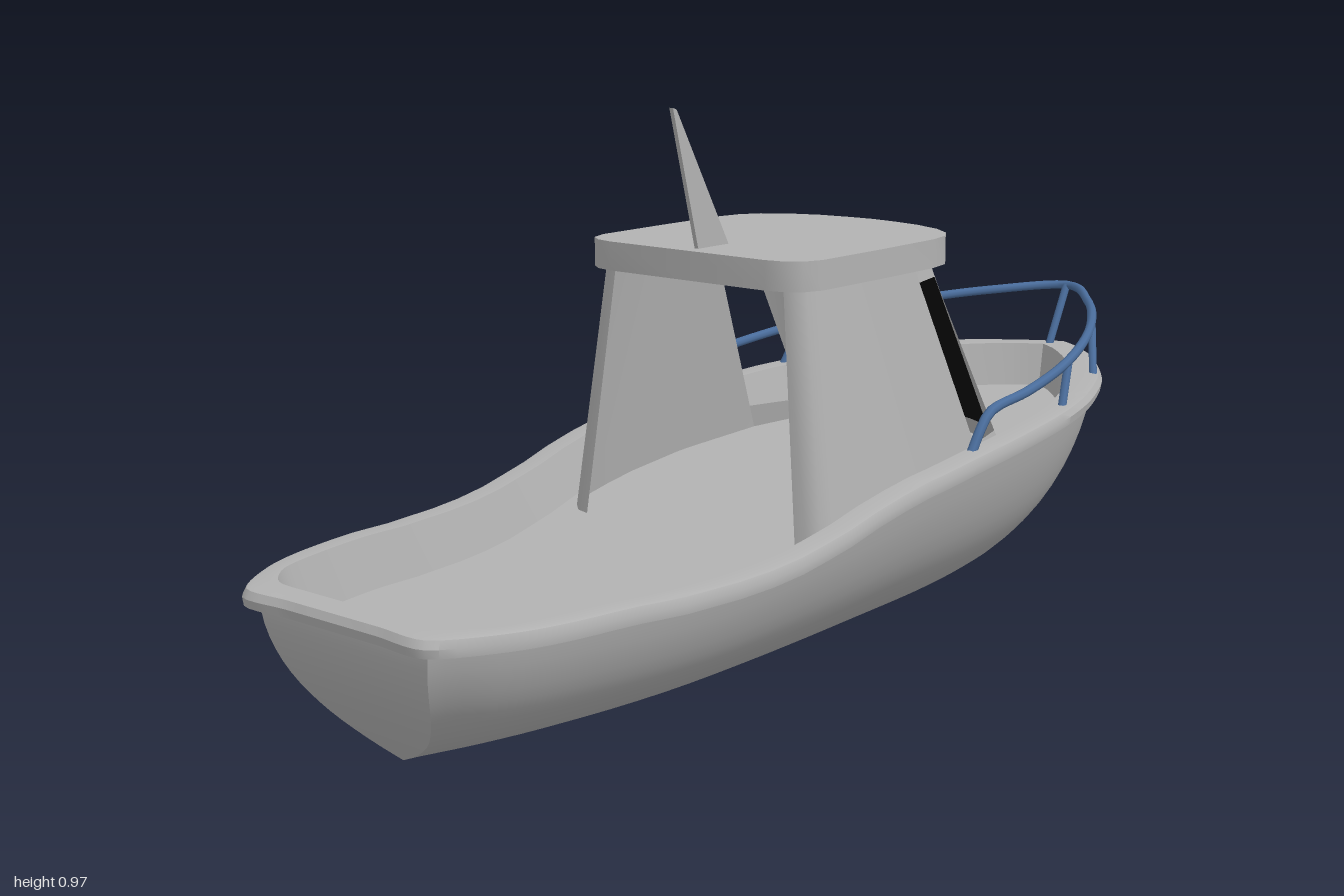
import * as THREE from 'three';
import { toCreasedNormals } from 'three/addons/utils/BufferGeometryUtils.js';

const V = (x, y, z) => new THREE.Vector3(x, y, z);
const mat = (name, color) => {
  const m = new THREE.MeshStandardMaterial({ color, side: THREE.DoubleSide });
  m.name = name;
  return m;
};

// Linear lookup in a table of [x, y] pairs
function lookup(table, x) {
  if (x <= table[0][0]) return table[0][1];
  for (let i = 1; i < table.length; i++) {
    const [x0, y0] = table[i - 1], [x1, y1] = table[i];
    if (x <= x1) return y0 + (y1 - y0) * (x - x0) / (x1 - x0);
  }
  return table[table.length - 1][1];
}

// Surface through rows of points
function surface(rows, crease = 0.6) {
  const n = rows[0].length, index = [];
  for (let i = 0; i < rows.length - 1; i++) {
    for (let j = 0; j < n - 1; j++) {
      const a = i * n + j, b = a + n;
      index.push(a, b, a + 1, a + 1, b, b + 1);
    }
  }
  const g = new THREE.BufferGeometry().setFromPoints(rows.flat());
  g.setIndex(index);
  return toCreasedNormals(g, crease);
}

const SHEER = [[-1, 0.292], [-0.7, 0.292], [-0.6, 0.287], [-0.45, 0.287], [-0.35, 0.298], [-0.25, 0.318],
  [-0.15, 0.345], [-0.05, 0.362], [0.1, 0.378], [0.4, 0.398], [0.65, 0.41], [0.85, 0.412], [1, 0.405]];
const sheer = x => lookup(SHEER, x);
const deckY = x => sheer(x) - 0.085;

export function createModel() {
  const boat = new THREE.Group();
  boat.name = 'boat';
  const grey = mat('hullGrey', 0xb2b2b2);
  const black = mat('glassBlack', 0x0a0a0a);
  const blue = mat('railBlue', 0x4a6d9c);
  const add = (name, geometry, material) => {
    const m = new THREE.Mesh(geometry, material);
    m.name = name;
    boat.add(m);
    return m;
  };

  // Hull stations: x at top, x at keel, keel height, half width
  const stations = [
    [-0.98, -0.87, 0.03, 0.185], [-0.9, -0.8, 0.025, 0.25], [-0.75, -0.68, 0.018, 0.3],
    [-0.5, -0.46, 0.01, 0.333], [-0.25, -0.24, 0.004, 0.352], [0, 0, 0, 0.367], [0.25, 0.22, 0, 0.36],
    [0.45, 0.36, 0.005, 0.333], [0.6, 0.46, 0.015, 0.285], [0.75, 0.54, 0.03, 0.21],
    [0.86, 0.6, 0.04, 0.13], [0.93, 0.63, 0.05, 0.06], [0.965, 0.65, 0.06, 0]];
  const profile = new THREE.SplineCurve([[0, 0], [0.27, 0.1], [0.54, 0.24], [0.73, 0.4], [0.86, 0.58], [0.95, 0.8], [1, 1]]
    .map(p => new THREE.Vector2(...p))).getPoints(16);
  const columns = profile.map(p => new THREE.CatmullRomCurve3(stations.map(([xt, xk, yk, w]) => V(
    xk + (xt - xk) * Math.sin(p.y * Math.PI / 2),
    yk + (sheer(xt) - 0.022 - yk) * p.y,
    w * p.x))).getPoints(48));
  const hullRows = columns[0].map((_, i) => [
    ...columns.map(c => c[i].clone()).reverse(),
    ...columns.slice(1).map(c => V(c[i].x, c[i].y, -c[i].z))]);
  add('hull', surface(hullRows), grey);
  add('transom', surface(columns.map(c => [V(c[0].x, c[0].y, -c[0].z), c[0].clone()])), grey);

  // Gunwale: half outlines from stern centre to bow, mirrored into a loop
  const smooth = pts => new THREE.CatmullRomCurve3(pts.map(([x, z]) => V(x, 0, z)), false, 'catmullrom', 0.4).getPoints(70);
  const outer = smooth([[-1, 0], [-1, 0.1], [-1, 0.2], [-0.9, 0.268], [-0.8, 0.302], [-0.6, 0.335], [-0.3, 0.367],
    [0, 0.387], [0.2, 0.382], [0.4, 0.362], [0.55, 0.325], [0.7, 0.26], [0.85, 0.155], [0.95, 0.055], [0.99, 0]]);
  const inner = smooth([[-0.95, 0], [-0.95, 0.1], [-0.945, 0.18], [-0.89, 0.235], [-0.79, 0.262], [-0.6, 0.29], [-0.3, 0.32],
    [0, 0.34], [0.19, 0.336], [0.38, 0.316], [0.52, 0.275], [0.64, 0.22], [0.77, 0.135], [0.86, 0.05], [0.9, 0]]);
  const ring = (k, dy, sx = 1, sz = 1) => {
    const half = outer.map((o, i) => {
      const p = o.clone().lerp(inner[i], k);
      return V(p.x * sx, sheer(p.x) + dy, p.z * sz);
    });
    return [...half, ...half.slice(0, -1).reverse().map(p => V(p.x, p.y, -p.z))];
  };
  const deckEdge = ring(1, -0.085, 0.985, 0.93);
  add('gunwale', surface([ring(0.5, -0.03), ring(0.04, -0.028), ring(0, -0.014), ring(0.12, -0.002),
    ring(0.3, 0), ring(1, 0), deckEdge]), grey);

  // Deck following the sheer
  add('deck', surface(deckEdge.slice(0, outer.length).map(p => [V(p.x, p.y, -p.z), V(p.x, p.y, 0), p])), grey);

  // Cabin ribs: top x, top z, bottom x, bottom z, from rear edge to front centre
  const ribs = [
    [-0.19, 0.185, -0.22, 0.235], [-0.187, 0.205, -0.216, 0.26], [-0.175, 0.22, -0.203, 0.277],
    [-0.155, 0.227, -0.18, 0.287], [0, 0.229, 0.08, 0.289], [0.12, 0.224, 0.309, 0.272],
    [0.187, 0.207, 0.444, 0.23], [0.227, 0.178, 0.465, 0.196], [0.255, 0.125, 0.497, 0.135],
    [0.272, 0.065, 0.522, 0.07], [0.279, 0, 0.532, 0]];
  const TOP = 0.685, BOTTOM = 0.2;
  const ribPoint = ([xt, zt, xb, zb], y, s) => {
    const k = (TOP - y) / (TOP - 0.24);
    return V(xt + (xb - xt) * k, y, s * (zt + (zb - zt) * k));
  };
  const panel = (from, to, y0, y1, s) => surface(
    ribs.slice(from, to + 1).map(r => s > 0 ? [ribPoint(r, y0, s), ribPoint(r, y1, s)] : [ribPoint(r, y1, s), ribPoint(r, y0, s)]));
  for (const s of [1, -1]) {
    const side = s > 0 ? 'left' : 'right';
    add(side + 'CabinWall', panel(0, 5, BOTTOM, TOP, s), grey);
    add(side + 'CabinSill', panel(5, 10, BOTTOM, 0.35, s), grey);
    add(side + 'CabinHeader', panel(5, 10, 0.655, TOP, s), grey);
    add(side + 'WindowPost', panel(6, 7, 0.35, 0.655, s), grey);
    add(side + 'Windshield', panel(7, 10, 0.35, 0.655, s), black);
  }

  // Roof slab with rounded corners
  const roofHalf = [[-0.22, 0], [-0.22, 0.17], [-0.213, 0.205], [-0.195, 0.23], [-0.16, 0.243], [0, 0.245],
    [0.15, 0.243], [0.2, 0.233], [0.235, 0.21], [0.265, 0.17], [0.288, 0.11], [0.298, 0.05], [0.302, 0]];
  const roofShape = new THREE.Shape([...roofHalf, ...roofHalf.slice(1, -1).reverse().map(([x, z]) => [x, -z])]
    .map(p => new THREE.Vector2(...p)));
  const roof = new THREE.ExtrudeGeometry(roofShape, { depth: 0.05, bevelEnabled: false });
  roof.rotateX(-Math.PI / 2).translate(0, 0.68, 0);
  add('roof', toCreasedNormals(roof, 0.6), grey);

  // Mast fin
  const fin = new THREE.Shape([[-0.19, 0.725], [-0.11, 0.725], [-0.243, 0.965], [-0.252, 0.968]].map(p => new THREE.Vector2(...p)));
  add('mast', new THREE.ExtrudeGeometry(fin, { depth: 0.008, bevelEnabled: false }).translate(0, 0, -0.004), grey);

  // Bow rail and its posts
  const tube = (name, pts, r, seg) => add(name,
    new THREE.TubeGeometry(new THREE.CatmullRomCurve3(pts.map(p => V(...p))), seg, r, 8), blue);
  const railHalf = [[0.12, 0.375, 0.35], [0.145, 0.41, 0.35], [0.175, 0.436, 0.349], [0.3, 0.452, 0.345],
    [0.45, 0.47, 0.322], [0.6, 0.488, 0.275], [0.75, 0.503, 0.203], [0.88, 0.514, 0.115]];
  tube('bowRail', [...railHalf, [0.988, 0.522, 0], ...railHalf.slice().reverse().map(([x, y, z]) => [x, y, -z])], 0.009, 90);
  for (const s of [1, -1]) {
    tube('railPost', [[0.445, 0.39, s * 0.327], [0.49, 0.475, s * 0.312]], 0.008, 1);
    tube('railPost', [[0.695, 0.4, s * 0.243], [0.765, 0.504, s * 0.194]], 0.008, 1);
  }
  tube('bowPost', [[0.92, 0.4, 0], [0.985, 0.522, 0]], 0.008, 1);

  return boat;
}
